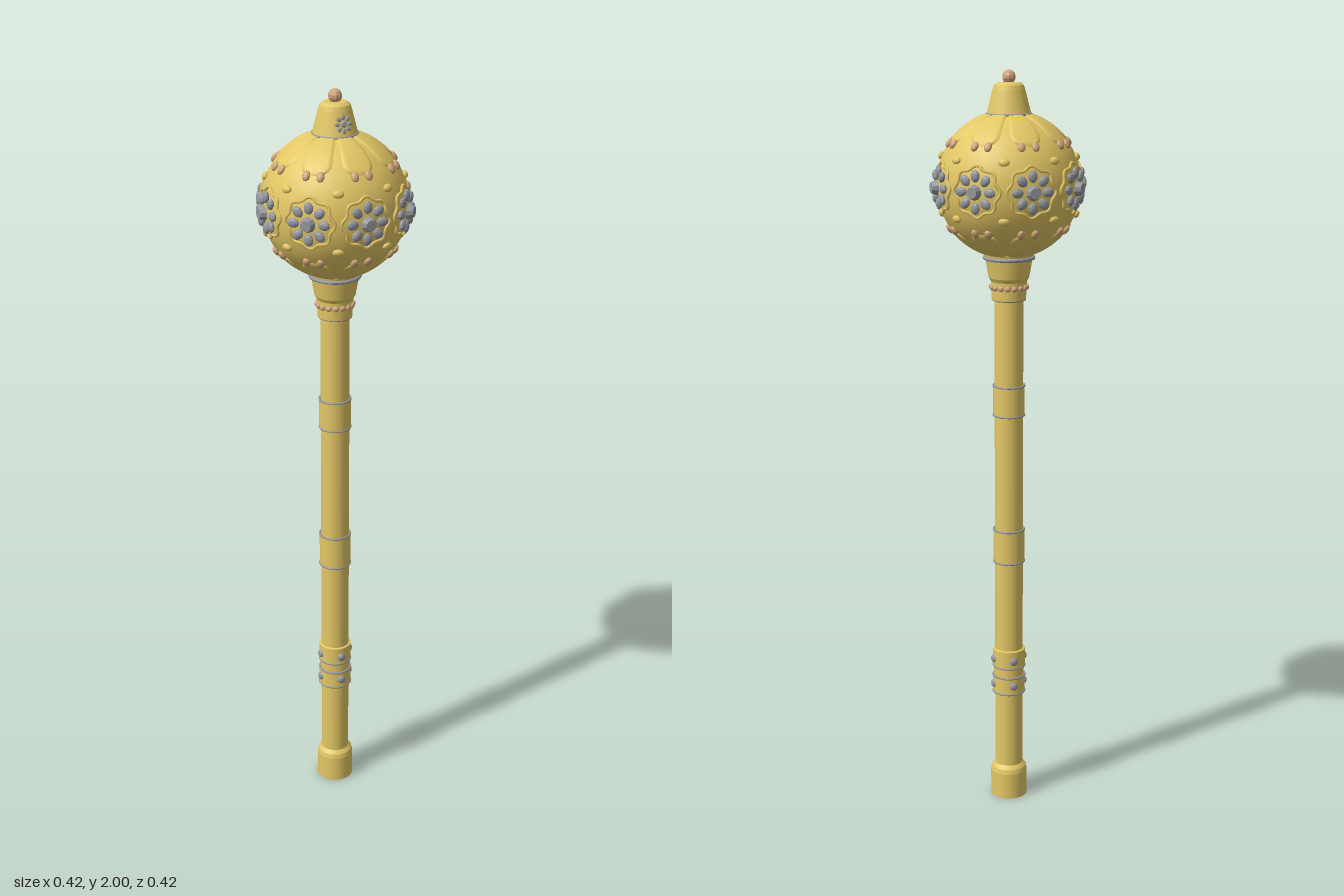
import * as THREE from 'three';

const mat = (color, flat = false) => new THREE.MeshStandardMaterial({ color, flatShading: flat, side: THREE.DoubleSide });
const gold = mat(0xe3c765), steel = mat(0x94979d, true), copper = mat(0xd0a478, true);
const HEAD_Y = 1.71, HEAD_R = 0.187, STEP = Math.PI / 4;

export function createModel() {
  const root = new THREE.Group();
  const add = (name, geo, material, parent = root) => {
    const m = new THREE.Mesh(geo, material);
    m.name = name;
    parent.add(m);
    return m;
  };

  // Turned solid with hard edges: each profile segment is its own surface
  const turned = (name, pts) => {
    const g = new THREE.Group();
    g.name = name;
    for (let i = 0; i < pts.length - 1; i++) {
      const seg = [pts[i], pts[i + 1]].map(p => new THREE.Vector2(p[0], p[1]));
      add(name + 'Surface', new THREE.LatheGeometry(seg, 40), gold, g);
    }
    root.add(g);
  };
  const ring = (name, y, r, t = 0.003, material = steel) => {
    const m = add(name, new THREE.TorusGeometry(r, t, 8, 40), material);
    m.rotation.x = Math.PI / 2;
    m.position.y = y;
  };

  // Set an object on a surface, its local z pointing outward
  const onSurface = (obj, az, y, r, slope = 0) => {
    const n = new THREE.Vector3(Math.sin(az) * Math.cos(slope), Math.sin(slope), Math.cos(az) * Math.cos(slope));
    obj.position.set(Math.sin(az) * r, y, Math.cos(az) * r);
    obj.lookAt(obj.position.clone().add(n));
    return obj;
  };
  const onHead = (obj, az, y, lift = 0) => {
    const slope = Math.asin((y - HEAD_Y) / HEAD_R), R = HEAD_R + lift;
    return onSurface(obj, az, HEAD_Y + R * Math.sin(slope), R * Math.cos(slope), slope);
  };
  const gemGeo = new THREE.SphereGeometry(1, 10, 6);
  gemGeo.rotateX(Math.PI / 2);
  const gem = (name, material, w, h, d, parent = root) => {
    const m = add(name, gemGeo, material, parent);
    m.scale.set(w, h, d);
    return m;
  };

  // Shaft, foot and neck
  turned('shaft', [[0.038, 0.08], [0.038, 1.43]]);
  turned('foot', [[0, 0], [0.05, 0], [0.05, 0.072], [0.047, 0.085], [0.038, 0.095]]);
  turned('neck', [[0.038, 1.41], [0.045, 1.412], [0.047, 1.46], [0.053, 1.47], [0.062, 1.52], [0.066, 1.535]]);
  ring('neckLowerRing', 1.412, 0.042);
  ring('neckUpperRing', 1.522, 0.064, 0.005);
  for (let i = 0; i < 16; i++)
    onSurface(gem('neckStud', copper, 0.0085, 0.008, 0.006), i * STEP / 2, 1.445, 0.047);

  // Grip bands
  for (const [a, b] of [[0.69, 0.78], [1.1, 1.18]]) {
    turned('gripBand', [[0.038, a], [0.042, a], [0.042, b], [0.038, b]]);
    ring('gripBandRing', a, 0.041);
    ring('gripBandRing', b, 0.041);
  }
  turned('lowerBand', [[0.038, 0.31], [0.044, 0.31], [0.044, 0.355], [0.041, 0.357],
    [0.041, 0.385], [0.044, 0.387], [0.044, 0.435], [0.038, 0.437]]);
  for (const y of [0.31, 0.357, 0.386]) ring('lowerBandRing', y, 0.043);
  for (const y of [0.335, 0.408])
    for (let i = 0; i < 4; i++)
      onSurface(gem('lowerBandStud', steel, 0.012, 0.012, 0.008), i * Math.PI / 2, y, 0.043);

  // Round head
  const head = add('head', new THREE.SphereGeometry(HEAD_R, 64, 40), gold);
  head.position.y = HEAD_Y;

  // Raised petal: a patch of the ball that ends in a rounded tip
  const petalGeo = dir => {
    const geo = new THREE.PlaneGeometry(1, 1, 12, 18), p = geo.attributes.position;
    for (let i = 0; i < p.count; i++) {
      const u = p.getX(i) * 2, t = p.getY(i) + 0.5;
      const polar = 0.29 + 0.66 * t;
      const half = (t < 0.7 ? 0.355 - 0.06 * t : 0.313 * Math.sqrt(Math.max(0, 1 - ((t - 0.7) / 0.3) ** 2)));
      const r = HEAD_R + (Math.abs(u) > 0.99 || t > 0.99 ? -0.001 : 0.003);
      const az = u * half;
      p.setXYZ(i, r * Math.sin(polar) * Math.sin(az), dir * r * Math.cos(polar), r * Math.sin(polar) * Math.cos(az));
    }
    if (dir > 0) geo.index.array.reverse();
    geo.computeVertexNormals();
    return geo;
  };
  for (const dir of [1, -1]) {
    const geo = petalGeo(dir);
    for (let i = 0; i < 8; i++) {
      const m = add(dir > 0 ? 'upperPetal' : 'lowerPetal', geo, gold);
      m.position.y = HEAD_Y;
      m.rotation.y = i * STEP;
    }
  }

  // Flower of gems around a large centre
  const rosette = (name, s) => {
    const g = new THREE.Group();
    g.name = name;
    const centre = add('centreGem', new THREE.CylinderGeometry(0.014 * s, 0.02 * s, 0.016 * s, 10), steel, g);
    centre.rotation.x = Math.PI / 2;
    centre.position.z = 0.014 * s;
    for (let i = 0; i < 8; i++) {
      const a = i * STEP, x = 0.04 * s * Math.cos(a), y = 0.04 * s * Math.sin(a);
      const leaf = gem('petalGem', steel, 0.016 * s, 0.0125 * s, 0.008 * s, g);
      leaf.position.set(x, y, 0.001 * s);
      leaf.rotation.z = a;
    }
    root.add(g);
    return g;
  };

  // Scalloped gold border that follows the ball around each rosette
  const pts = [];
  for (let i = 0; i < 64; i++) {
    const a = i / 64 * Math.PI * 2, r = 0.061 + 0.004 * Math.cos(8 * a);
    pts.push(new THREE.Vector3(r * Math.cos(a), r * Math.sin(a), Math.sqrt(HEAD_R ** 2 - r * r) - HEAD_R + 0.002));
  }
  const borderGeo = new THREE.TubeGeometry(new THREE.CatmullRomCurve3(pts, true), 80, 0.004, 6, true);

  for (let i = 0; i < 8; i++) {
    const az = i * STEP;
    onHead(rosette('headRosette', 1), az, HEAD_Y, 0);
    onHead(add('rosetteBorder', borderGeo, gold), az, HEAD_Y);
    // Paired and single studs above and below the rosettes
    for (const s of [-1, 1]) {
      onHead(gem('upperStud', copper, 0.0105, 0.014, 0.008), az + s * 0.12, 1.818, 0.002);
      onHead(gem('lowerStud', copper, 0.0105, 0.014, 0.008), az + s * 0.12, 1.602, 0.002);
      onHead(gem('betweenStud', gold, 0.015, 0.0105, 0.008), az + STEP / 2, HEAD_Y + s * 0.073, 0.002);
    }
  }

  // Finial with its front flower and tip
  turned('finial', [[0.06, 1.882], [0.056, 1.895], [0.042, 1.95], [0.038, 1.962], [0.03, 1.968], [0, 1.97]]);
  ring('finialRing', 1.89, 0.057, 0.003);
  onSurface(rosette('finialRosette', 0.42), 0, 1.922, 0.049, 0.25);
  const tip = add('finialTip', new THREE.SphereGeometry(0.018, 10, 7), copper);
  tip.position.y = 1.982;

  return root;
}
